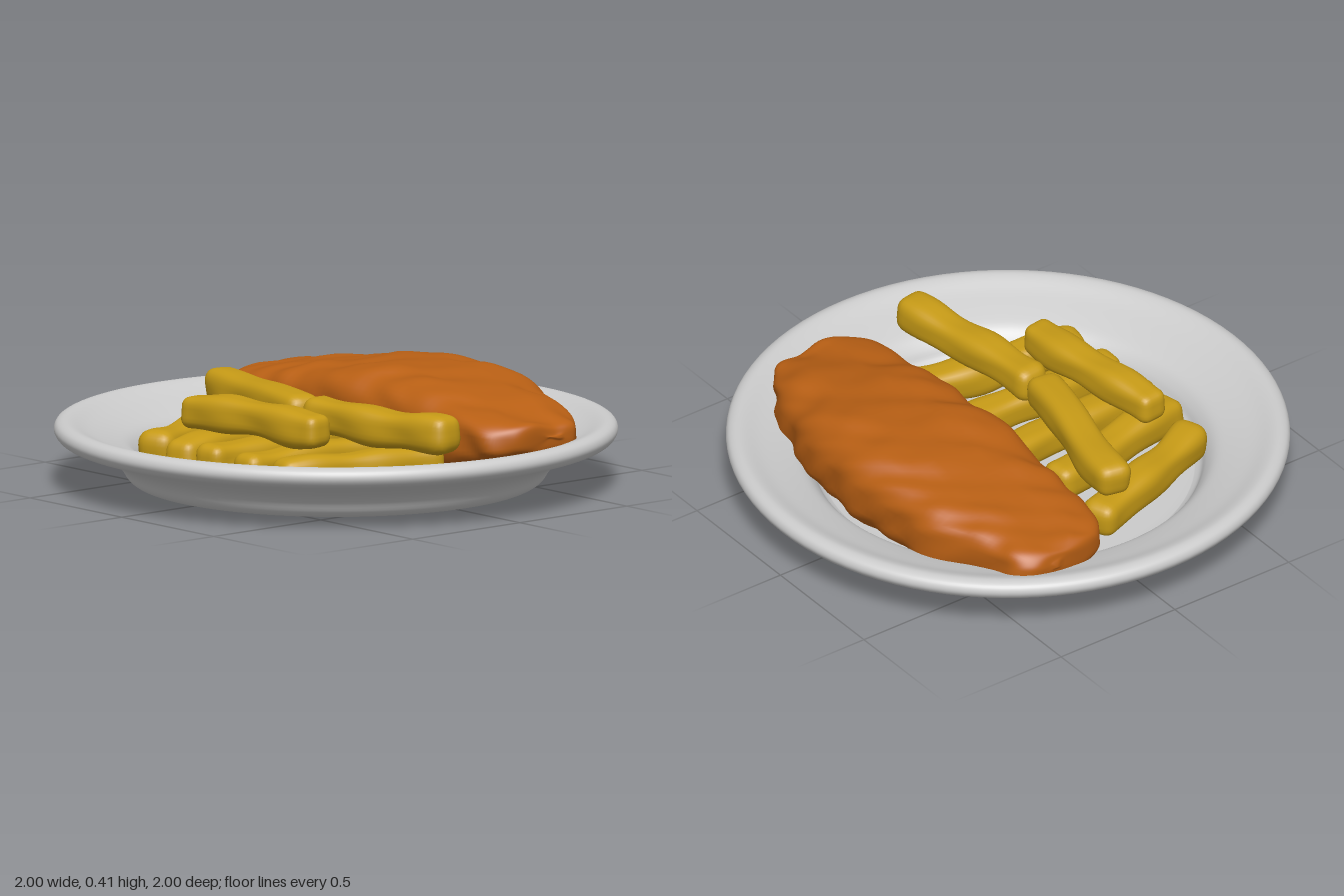
import * as THREE from 'three';
import { mergeVertices } from 'three/addons/utils/BufferGeometryUtils.js';

const material = (color, extra = {}) => new THREE.MeshStandardMaterial({ color, ...extra });

// Smooth lumpy value in about -1..1
function lump(x, y, z, f, seed) {
  return (Math.sin(x * f + seed * 1.7 + 1.3 * Math.sin(z * f * 0.8 + seed))
    + Math.sin(z * f * 1.1 + seed * 2.3 + 1.2 * Math.sin(y * f + x * f * 0.6))
    + Math.sin((x * 0.7 + y + z * 0.6) * f * 1.6 + seed)) / 3;
}

// Plate: one closed profile from the underside centre, round the rim, to the well centre
function createPlate() {
  const under = [[0.69, 0.008], [0.715, 0.014], [0.74, 0.032], [0.765, 0.07], [0.80, 0.10], [0.86, 0.128],
    [0.93, 0.15], [0.975, 0.165], [0.995, 0.185], [1, 0.205], [0.99, 0.225], [0.965, 0.235], [0.935, 0.23],
    [0.88, 0.207], [0.80, 0.18], [0.74, 0.155], [0.705, 0.12], [0.685, 0.085], [0.66, 0.068]];
  const curve = new THREE.SplineCurve(under.map(p => new THREE.Vector2(...p)));
  const profile = [new THREE.Vector2(0, 0), new THREE.Vector2(0.67, 0.007),
    ...curve.getPoints(72), new THREE.Vector2(0.62, 0.065), new THREE.Vector2(0, 0.065)];
  const plate = new THREE.Mesh(new THREE.LatheGeometry(profile, 96), material(0xcccccc));
  plate.name = 'plate';
  return plate;
}

// Fillet: lumpy cross-sections along x, each from [x, zBack, zFront, yBottom, yTop]
function createFillet() {
  const stations = [
    [-0.805, -0.40, -0.36, 0.22, 0.25], [-0.79, -0.49, -0.22, 0.18, 0.28], [-0.74, -0.53, -0.135, 0.16, 0.30],
    [-0.60, -0.56, -0.105, 0.12, 0.325], [-0.42, -0.655, -0.085, 0.08, 0.35], [-0.20, -0.69, -0.075, 0.07, 0.385],
    [0, -0.705, -0.08, 0.07, 0.40], [0.22, -0.695, -0.08, 0.07, 0.385], [0.42, -0.645, -0.08, 0.08, 0.355],
    [0.60, -0.58, -0.10, 0.12, 0.32], [0.71, -0.51, -0.12, 0.16, 0.29], [0.76, -0.46, -0.19, 0.18, 0.28],
    [0.775, -0.40, -0.32, 0.22, 0.25]];
  const back = new THREE.CatmullRomCurve3(stations.map(s => new THREE.Vector3(s[0], s[4], s[1])));
  const front = new THREE.CatmullRomCurve3(stations.map(s => new THREE.Vector3(s[0], s[3], s[2])));
  const rings = 90, sides = 56, positions = [], index = [];
  const squash = v => Math.sign(v) * Math.abs(v) ** 0.6;

  for (let i = 0; i <= rings; i++) {
    const b = back.getPoint(i / rings), f = front.getPoint(i / rings);
    const x = (b.x + f.x) / 2, cy = (b.y + f.y) / 2, cz = (b.z + f.z) / 2;
    for (let j = 0; j < sides; j++) {
      const a = j / sides * Math.PI * 2;
      const dy = squash(Math.cos(a)), dz = squash(Math.sin(a));
      const y = cy + dy * (b.y - f.y) / 2, z = cz + dz * (f.z - b.z) / 2;
      const n = 0.011 * lump(x, y, z, 17, 2) + 0.007 * lump(x, y, z, 34, 5);
      positions.push(x + 0.5 * n, y + dy * n, z + dz * n * 1.3);
      if (i < rings) {
        const p = i * sides + j, q = i * sides + (j + 1) % sides;
        index.push(p, q, p + sides, q, q + sides, p + sides);
      }
    }
  }
  // Blunt ends
  const last = rings * sides, start = positions.length / 3;
  positions.push(-0.815, 0.235, -0.38, 0.785, 0.235, -0.36);
  for (let j = 0; j < sides; j++) {
    const k = (j + 1) % sides;
    index.push(start, k, j, start + 1, last + j, last + k);
  }
  const geometry = new THREE.BufferGeometry();
  geometry.setAttribute('position', new THREE.Float32BufferAttribute(positions, 3));
  geometry.setIndex(index);
  geometry.computeVertexNormals();
  const fillet = new THREE.Mesh(geometry, material(0xb85f14));
  fillet.name = 'friedFillet';
  return fillet;
}

// Fry: a box with rounded corners, slightly bent and lumpy, laid between two points
function createFry([x1, z1, x2, z2], y, seed) {
  const length = Math.hypot(x2 - x1, z2 - z1), r = 0.042;
  const half = new THREE.Vector3(length / 2, 0.064, 0.064);
  let geometry = new THREE.BoxGeometry(length, half.y * 2, half.z * 2, 36, 8, 8);
  geometry.deleteAttribute('normal');
  geometry.deleteAttribute('uv');
  geometry = mergeVertices(geometry);

  const inner = half.clone().subScalar(r), p = new THREE.Vector3(), c = new THREE.Vector3();
  const pos = geometry.attributes.position;
  for (let i = 0; i < pos.count; i++) {
    p.fromBufferAttribute(pos, i);
    c.copy(p).clamp(inner.clone().negate(), inner);
    const out = p.clone().sub(c).normalize();
    p.copy(c).addScaledVector(out, r + 0.009 * lump(p.x, p.y, p.z, 19, seed));
    p.z += 0.007 * Math.sin(p.x * 9 + seed);
    p.y += 0.005 * Math.sin(p.x * 11 + seed * 2);
    pos.setXYZ(i, p.x, p.y, p.z);
  }
  geometry.computeVertexNormals();
  const fry = new THREE.Mesh(geometry, material(0xc69a16));
  fry.position.set((x1 + x2) / 2, y, (z1 + z2) / 2);
  fry.rotation.y = -Math.atan2(z2 - z1, x2 - x1);
  return fry;
}

export function createModel() {
  const model = new THREE.Group();
  model.name = 'plateOfFilletAndFries';
  model.add(createPlate(), createFillet());

  // Each layer: end points [x1, z1, x2, z2] of its fries and the height of their centres
  const layers = [
    { name: 'lowerFry', y: 0.145, fries: [
      [-0.565, -0.025, -0.33, 0.58], [-0.28, -0.01, -0.155, 0.62], [-0.05, -0.06, 0, 0.61],
      [0.19, 0.05 - 0.10, 0.19, 0.61], [0.495, -0.06, 0.365, 0.59]] },
    { name: 'upperFry', y: 0.286, fries: [
      [-0.585, 0.055, 0.075, 0.195], [0.08, 0.19, 0.75, 0.11], [-0.29, 0.44, 0.37, 0.37]] }];
  layers.forEach((layer, l) => {
    layer.fries.forEach((ends, i) => {
      const fry = createFry(ends, layer.y, 1 + i * 2.1 + l * 5.3);
      fry.name = layer.name + (i + 1);
      model.add(fry);
    });
  });
  return model;
}
